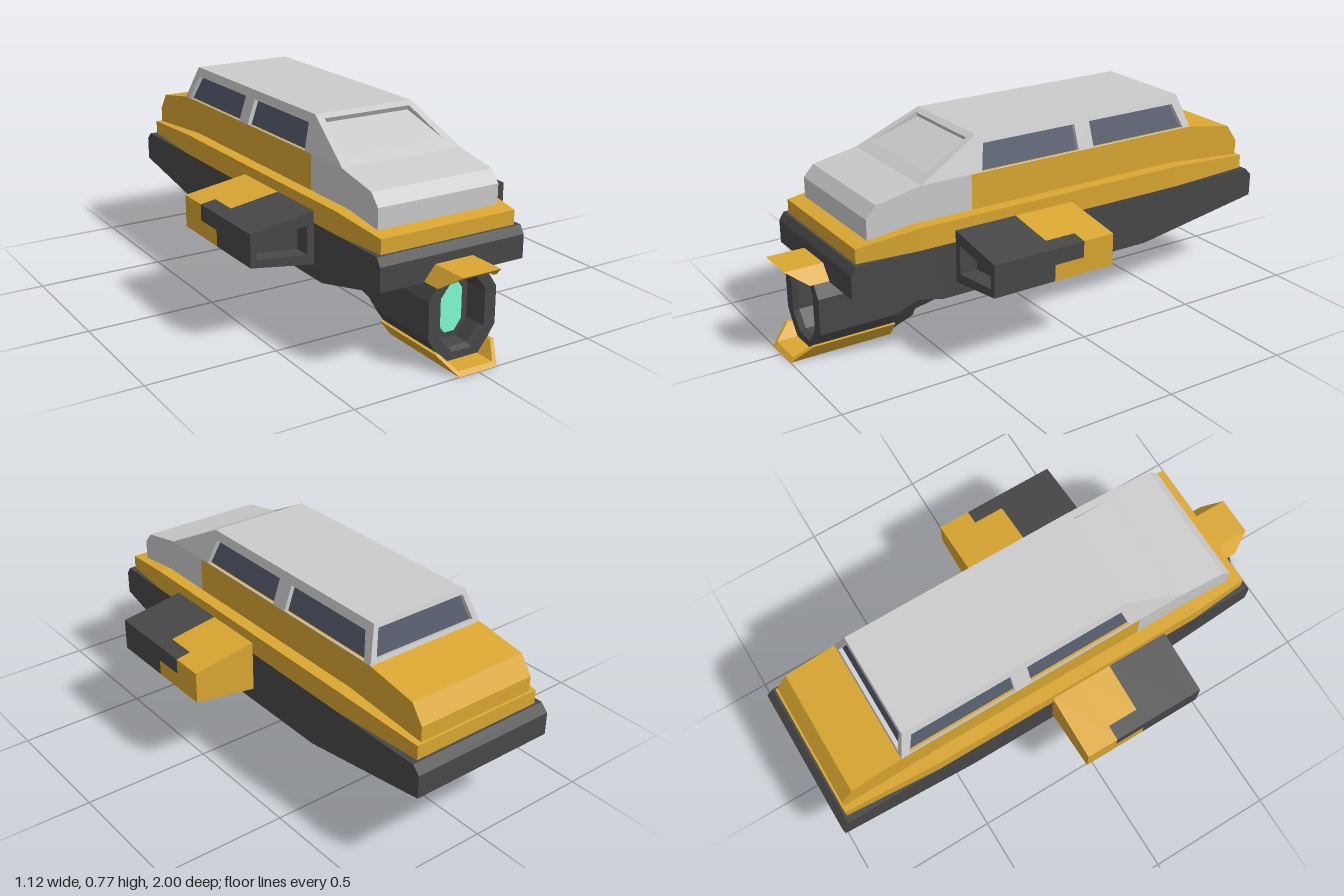
import * as THREE from 'three';
import { mergeGeometries } from 'three/addons/utils/BufferGeometryUtils.js';

const material = (color) => new THREE.MeshStandardMaterial({ color, flatShading: true, side: THREE.DoubleSide });

// Skin through equal loops of [x, y, z], ordered back to front, counter-clockwise seen from the front
function loft(loops) {
  const pos = [], n = loops[0].length, last = loops[loops.length - 1];
  const tri = (a, b, c) => pos.push(...a, ...b, ...c);
  for (let i = 0; i < loops.length - 1; i++) {
    for (let j = 0; j < n; j++) {
      const k = (j + 1) % n;
      tri(loops[i][j], loops[i][k], loops[i + 1][k]);
      tri(loops[i][j], loops[i + 1][k], loops[i + 1][j]);
    }
  }
  for (let j = 1; j < n - 1; j++) {
    tri(last[0], last[j], last[j + 1]);
    tri(loops[0][0], loops[0][j + 1], loops[0][j]);
  }
  const g = new THREE.BufferGeometry();
  g.setAttribute('position', new THREE.Float32BufferAttribute(pos, 3));
  g.computeVertexNormals();
  return g;
}

// Rectangular sections [z, half width, bottom, top]
const slab = (sections) => loft(sections.map(([z, w, b, t]) => [[-w, b, z], [w, b, z], [w, t, z], [-w, t, z]]));

// Octagonal sections [z, half width, half width of the flat, bottom, top, corner height]
const octagon = (sections) => loft(sections.map(([z, w, f, b, t, c]) => [
  [-f, b, z], [f, b, z], [w, b + c, z], [w, t - c, z], [f, t, z], [-f, t, z], [-w, t - c, z], [-w, b + c, z],
]));

const shapeOf = (pts) => new THREE.Shape(pts.map(([x, y]) => new THREE.Vector2(x, y)));

export function createModel() {
  const model = new THREE.Group();
  const dark = material(0x484848), gold = material(0xdaa732), grey = material(0xcccccc);
  const glass = material(0x545b6b), glow = material(0x7fffd4);
  const add = (name, geometry, mat, parent = model) => {
    const mesh = new THREE.Mesh(geometry, mat);
    mesh.name = name;
    parent.add(mesh);
    return mesh;
  };

  // Lower hull and deck
  add('hull', slab([
    [-1, 0.305, 0.3, 0.39], [-0.97, 0.305, 0.295, 0.42], [-0.44, 0.305, 0.21, 0.42],
    [0.49, 0.305, 0.21, 0.42], [0.83, 0.305, 0.295, 0.42], [0.85, 0.305, 0.3, 0.39],
  ]), dark);
  add('deck', slab([
    [-0.96, 0.278, 0.42, 0.475], [-0.58, 0.305, 0.42, 0.505],
    [0.58, 0.305, 0.42, 0.505], [0.82, 0.283, 0.42, 0.475],
  ]), gold);

  // Cabin body and nose
  add('cabinBody', slab([
    [-0.95, 0.255, 0.46, 0.535], [-0.9, 0.255, 0.46, 0.605], [-0.69, 0.255, 0.46, 0.64], [0.335, 0.255, 0.46, 0.64],
  ]), gold);
  add('nose', slab([
    [0.335, 0.255, 0.46, 0.64], [0.54, 0.255, 0.46, 0.64], [0.72, 0.255, 0.46, 0.605], [0.76, 0.255, 0.46, 0.56],
  ]), grey);
  add('roof', slab([[-0.65, 0.21, 0.755, 0.77], [0.29, 0.21, 0.755, 0.77]]), grey);

  // Sloping cabin wall with openings, each filled by a recessed pane
  const depth = 0.02, sill = 0.64;
  function wall(name, origin, along, rise, outline, holes, paneMat, tilted = false) {
    const u = new THREE.Vector3(...along), v = new THREE.Vector3(...rise);
    const scale = v.length() / v.y;
    v.normalize();
    const n = u.clone().cross(v);
    const place = new THREE.Matrix4().makeBasis(u, v, n)
      .setPosition(new THREE.Vector3(...origin).addScaledVector(n, -depth));
    const flat = (pts) => pts.map(([x, y]) => [x, (y - sill) * scale]);
    const frame = shapeOf(flat(outline));
    const group = new THREE.Group();
    group.name = name;
    model.add(group);
    for (const hole of holes) {
      const pts = flat(hole), ys = pts.map((p) => p[1]);
      const low = Math.min(...ys), high = Math.max(...ys);
      frame.holes.push(shapeOf(pts));
      const pane = new THREE.ShapeGeometry(shapeOf(pts));
      const p = pane.attributes.position;
      for (let i = 0; i < p.count; i++) {
        p.setZ(i, tilted ? depth * (high - p.getY(i)) / (high - low) : 0.003);
      }
      add('pane', pane.applyMatrix4(place), paneMat, group);
    }
    add('frame', new THREE.ExtrudeGeometry(frame, { depth, bevelEnabled: false }).applyMatrix4(place), grey, group);
  }
  const trapezoid = (w0, y0, w1, y1) => [[-w0, y0], [w0, y0], [w1, y1], [-w1, y1]];
  wall('windscreen', [0, sill, 0.54], [1, 0, 0], [0, 0.13, -0.25],
    trapezoid(0.255, 0.64, 0.21, 0.77), [trapezoid(0.215, 0.665, 0.185, 0.757)], grey, true);
  wall('rearWindow', [0, sill, -0.69], [-1, 0, 0], [0, 0.13, 0.04],
    trapezoid(0.255, 0.64, 0.21, 0.77), [trapezoid(0.225, 0.655, 0.195, 0.752)], glass);
  for (const s of [1, -1]) {
    const onSide = (pts) => pts.map(([z, y]) => [-s * z, y]);
    wall(s > 0 ? 'leftWindows' : 'rightWindows', [s * 0.255, sill, 0], [0, 0, -s], [-s * 0.045, 0.13, 0],
      onSide([[0.54, 0.64], [0.29, 0.77], [-0.65, 0.77], [-0.69, 0.64]]), [
        onSide([[0.29, 0.643], [0.265, 0.737], [-0.14, 0.737], [-0.14, 0.643]]),
        onSide([[-0.21, 0.643], [-0.21, 0.737], [-0.62, 0.737], [-0.655, 0.643]]),
      ], glass);
  }

  // Side pods, thinner towards the tip
  for (const s of [1, -1]) {
    const pod = new THREE.Group();
    pod.name = s > 0 ? 'leftPod' : 'rightPod';
    model.add(pod);
    const height = (x, f) => {
      const t = (x - 0.305) / 0.255;
      const bottom = 0.263 + 0.037 * t, top = 0.465 - 0.04 * t;
      return bottom + (top - bottom) * f;
    };
    const outline = (x0, x1, f0, f1) => {
      const pts = [[x0, f0], [x1, f0], [x1, f1], [x0, f1]].map(([x, f]) => [s * x, height(x, f)]);
      return s > 0 ? pts : pts.reverse();
    };
    const block = (name, mat, z0, z1, x0 = 0.305, x1 = 0.56, f0 = 0, f1 = 1) => {
      const pts = outline(x0, x1, f0, f1);
      add(name, loft([z0, z1].map((z) => pts.map(([x, y]) => [x, y, z]))), mat, pod);
    };
    block('podRear', gold, -0.075, 0.055);
    block('podMiddle', gold, 0.055, 0.18, 0.305, 0.5);
    block('podLowerTip', gold, 0.055, 0.18, 0.5, 0.56, 0, 0.5);
    block('podUpperTip', dark, 0.055, 0.18, 0.5, 0.56, 0.5, 1);
    block('podFront', dark, 0.18, 0.365);
    const rim = shapeOf(outline(0.305, 0.56, 0, 1));
    rim.holes.push(shapeOf([[0.333, 0.305], [0.537, 0.326], [0.537, 0.386], [0.333, 0.415]].map(([x, y]) => [s * x, y])));
    add('podIntake', new THREE.ExtrudeGeometry(rim, { depth: 0.07, bevelEnabled: false }).translate(0, 0, 0.365), dark, pod);
  }

  // Lamp pod under the nose: housing, tail and lens
  add('lampHousing', octagon([
    [0.49, 0.115, 0.065, 0.045, 0.33, 0.085], [0.6, 0.143, 0.08, 0.015, 0.345, 0.095],
    [0.905, 0.143, 0.08, 0.015, 0.345, 0.095], [0.905, 0.095, 0.042, 0.045, 0.317, 0.065],
    [0.885, 0.085, 0.036, 0.056, 0.306, 0.06], [0.82, 0.085, 0.036, 0.056, 0.306, 0.06],
  ]), dark);
  add('lampTail', octagon([
    [0.275, 0.05, 0.025, 0.12, 0.27, 0.06], [0.32, 0.085, 0.045, 0.085, 0.3, 0.08],
    [0.5, 0.1, 0.055, 0.057, 0.32, 0.085],
  ]), dark);
  add('lampLens', octagon([
    [0.81, 0.05, 0.02, 0.085, 0.28, 0.04], [0.835, 0.05, 0.02, 0.085, 0.28, 0.04],
  ]), glow);

  // Bent guard plates above and below the lamp, with raked front edges
  function guard(name, edge, ridge, inner, back) {
    const outside = [[0.125, edge, 0.925], [0.08, ridge, 1], [-0.08, ridge, 1], [-0.125, edge, 0.925]];
    const inside = [[0.11, edge, 0.925], [0.072, inner, 0.985], [-0.072, inner, 0.985], [-0.11, edge, 0.925]];
    const strips = [0, 1, 2].map((i) => {
      const front = [outside[i], outside[i + 1], inside[i + 1], inside[i]];
      if (ridge < edge) front.reverse();
      return loft([front.map(([x, y]) => [x, y, back]), front]);
    });
    add(name, mergeGeometries(strips), gold);
  }
  guard('upperGuard', 0.303, 0.357, 0.345, 0.8);
  guard('lowerGuard', 0.062, 0, 0.014, 0.595);

  return model;
}
